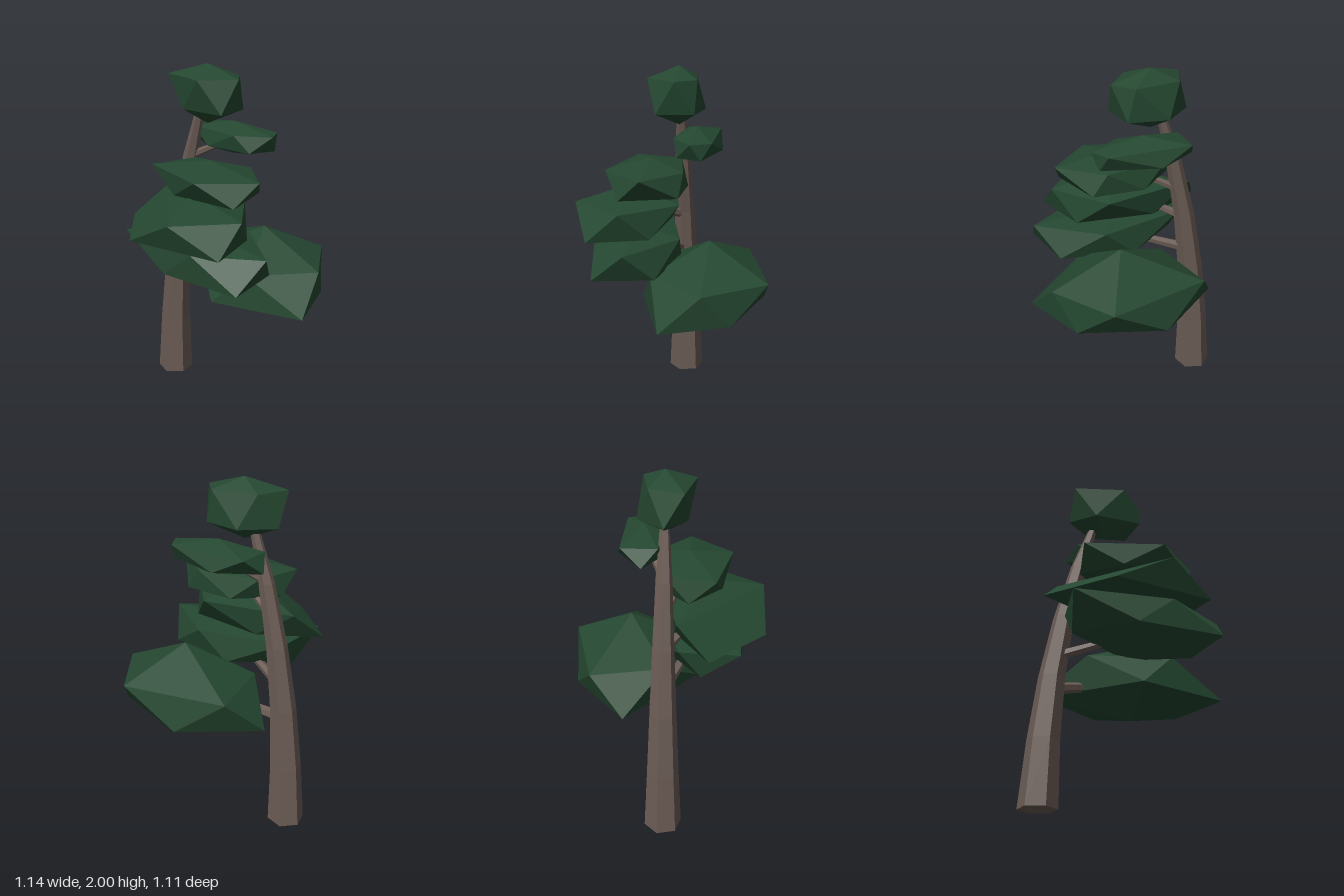
import * as THREE from 'three';
import { ConvexGeometry } from 'three/addons/geometries/ConvexGeometry.js';

const V = (x, y, z) => new THREE.Vector3(x, y, z);

// Faceted look: every face gets its own normals
function faceted(geometry) {
  const g = geometry.toNonIndexed();
  g.computeVertexNormals();
  return g;
}

export function createModel() {
  const bark = new THREE.MeshStandardMaterial({ color: 0x6b5c55 });
  bark.name = 'bark brown';
  const leaf = new THREE.MeshStandardMaterial({ color: 0x254831 });
  leaf.name = 'leaf green';

  const tree = new THREE.Group();
  tree.name = 'tree';

  function add(name, geometry, material) {
    const mesh = new THREE.Mesh(geometry, material);
    mesh.name = name;
    tree.add(mesh);
  }

  // Curved, tapering six-sided trunk: [height, centre x, radius]
  const sections = [
    [0.005, -0.47, 0.107], [0.37, -0.457, 0.09], [0.73, -0.427, 0.075],
    [1.1, -0.372, 0.06], [1.45, -0.295, 0.045], [1.72, -0.215, 0.026],
  ];
  const last = sections.length - 1;
  const trunk = new THREE.CylinderGeometry(1, 1, 1, 6, last);
  trunk.rotateY(THREE.MathUtils.degToRad(14));
  const p = trunk.attributes.position;
  for (let i = 0; i < p.count; i++) {
    const [y, x, r] = sections[Math.round((p.getY(i) + 0.5) * last)];
    p.setXYZ(i, x + p.getX(i) * r, y, p.getZ(i) * r);
  }
  add('trunk', faceted(trunk), bark);

  // Short side branches running from the trunk into the foliage
  function branch(name, from, to, r) {
    const dir = to.clone().sub(from);
    const g = new THREE.CylinderGeometry(r * 0.6, r, dir.length(), 6);
    g.applyQuaternion(new THREE.Quaternion().setFromUnitVectors(V(0, 1, 0), dir.normalize()));
    g.translate((from.x + to.x) / 2, (from.y + to.y) / 2, (from.z + to.z) / 2);
    add(name, faceted(g), bark);
  }
  branch('lowestBranch', V(-0.43, 0.67, 0), V(-0.05, 0.77, -0.14), 0.035);
  branch('lowerBranch', V(-0.41, 0.86, 0), V(-0.08, 0.95, 0.14), 0.032);
  branch('middleBranch', V(-0.37, 1.08, 0), V(-0.12, 1.18, 0.18), 0.028);
  branch('upperBranch', V(-0.33, 1.27, 0), V(-0.08, 1.38, 0.1), 0.025);
  branch('highestBranch', V(-0.29, 1.46, 0), V(-0.08, 1.57, -0.1), 0.024);

  // Leaf clump: top and bottom tips, and two level outlines of [x, z] between
  function clump(name, tip, yUpper, upper, yLower, lower, base) {
    const points = [V(...tip), V(...base)];
    for (const [x, z] of upper) points.push(V(x, yUpper, z));
    for (const [x, z] of lower) points.push(V(x, yLower, z));
    add(name, new ConvexGeometry(points), leaf);
  }

  clump('lowestFoliage', [0.1, 1.07, -0.21],
    0.89, [[0.26, -0.555], [0.5, -0.22], [0.24, 0.1], [-0.23, 0.0], [-0.32, -0.41]],
    0.695, [[-0.06, -0.52], [0.41, -0.37], [0.57, 0], [0.05, 0.18], [-0.45, -0.22]],
    [0.09, 0.6, -0.21]);

  clump('lowerFoliage', [0.04, 1.13, 0.2],
    1.08, [[0.48, 0.2], [0.13, -0.05], [-0.38, 0.08], [-0.4, 0.41], [0.15, 0.43]],
    0.92, [[0.44, 0.385], [0.37, 0.05], [-0.05, -0.03], [-0.36, 0.2], [-0.05, 0.44]],
    [0.05, 0.81, 0.2]);

  clump('middleFoliage', [-0.02, 1.35, 0.25],
    1.265, [[0.11, 0.55], [0.35, 0.25], [0.1, -0.04], [-0.43, 0.07]],
    1.105, [[0.36, 0.43], [0.25, 0.1], [-0.2, 0.05], [-0.53, 0.24], [-0.2, 0.55]],
    [-0.03, 1.08, 0.3]);

  clump('upperFoliage', [0, 1.51, 0.13],
    1.455, [[0.36, 0.13], [0.12, 0.37], [-0.32, 0.27], [-0.25, 0], [0.12, -0.065]],
    1.33, [[0.3, 0.26], [0.2, -0.05], [-0.1, -0.06], [-0.31, 0.13], [-0.1, 0.31]],
    [0.02, 1.285, 0.13]);

  clump('highestFoliage', [-0.06, 1.68, -0.115],
    1.63, [[0.23, -0.115], [0.17, -0.225], [-0.3, -0.225], [-0.3, -0.03], [0.05, 0]],
    1.54, [[0.2, -0.17], [-0.12, -0.255], [-0.35, -0.115], [-0.15, 0], [0.14, -0.03]],
    [-0.07, 1.495, -0.115]);

  clump('crownFoliage', [-0.145, 2, 0],
    1.935, [[0.078, -0.01], [-0.06, 0.165], [-0.35, 0.105], [-0.28, -0.08], [-0.02, -0.12]],
    1.755, [[-0.36, 0], [-0.2, -0.145], [0.02, -0.11], [0.055, 0.1], [-0.22, 0.12]],
    [-0.15, 1.67, 0]);

  return tree;
}
